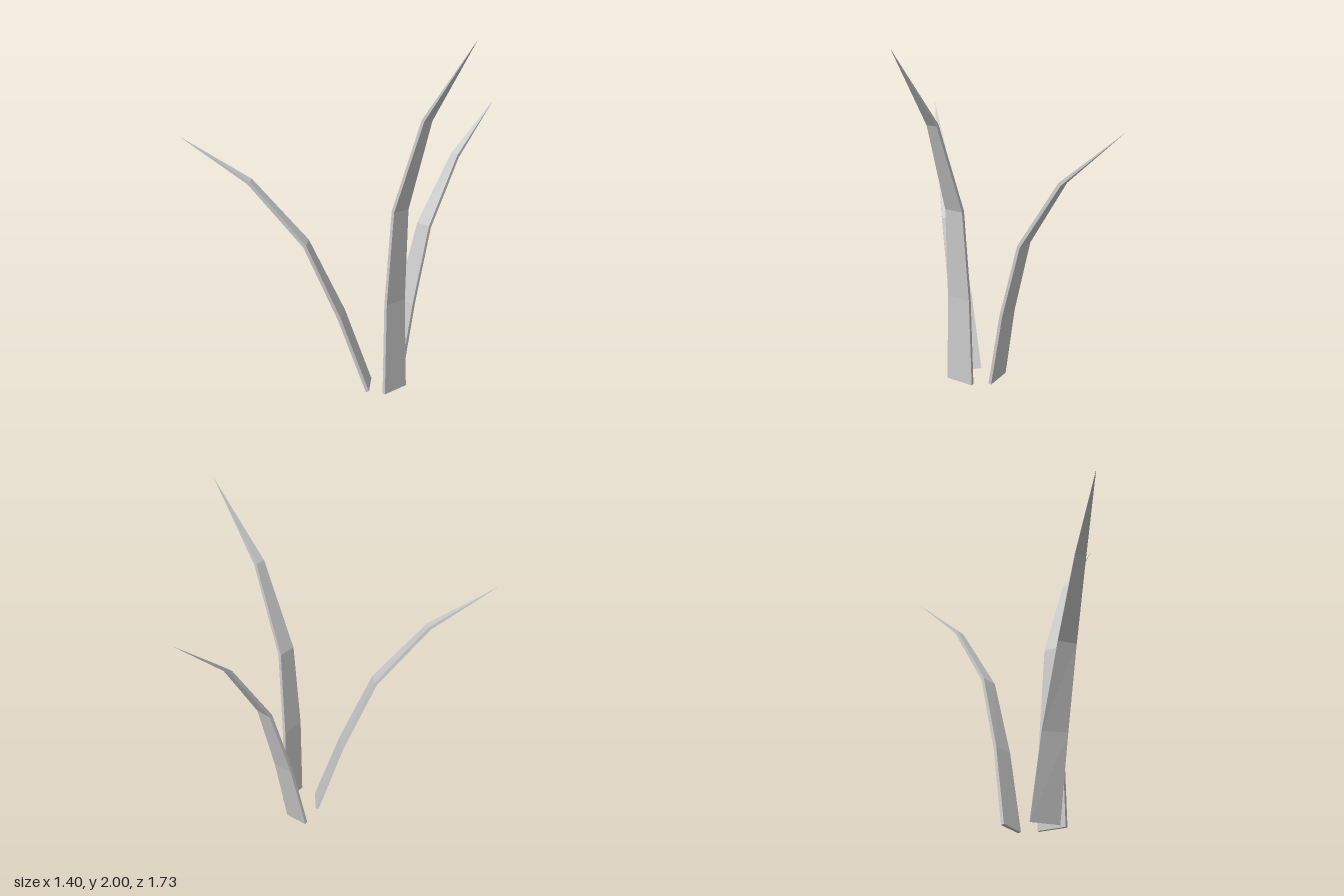
import * as THREE from 'three';

const HALF_THICKNESS = 0.0095;
const V = (p) => new THREE.Vector3(...p);

// Lofts a rectangular section along pairs of [leftEdge, rightEdge] points, closing to a tip.
function bladeGeometry(edges, tipPoint) {
  const tip = V(tipPoint);
  const pairs = edges.map(([l, r]) => [V(l), V(r)]);
  const centres = pairs.map(([l, r]) => l.clone().lerp(r, 0.5));
  centres.push(tip);

  const rings = pairs.map(([l, r], i) => {
    const ahead = centres[i + 1].clone().sub(centres[i]).normalize();
    const behind = i > 0 ? centres[i].clone().sub(centres[i - 1]).normalize() : ahead;
    const n = ahead.clone().add(behind).cross(r.clone().sub(l)).setLength(HALF_THICKNESS);
    return [l.clone().sub(n), r.clone().sub(n), r.clone().add(n), l.clone().add(n)];
  });

  const points = [];
  const tri = (a, b, c) => points.push(a, b, c);
  const [b0, b1, b2, b3] = rings[0];
  tri(b0, b2, b1);
  tri(b0, b3, b2);
  rings.forEach((ring, i) => {
    const next = rings[i + 1];
    for (let k = 0; k < 4; k++) {
      const m = (k + 1) % 4;
      if (next) {
        tri(ring[k], ring[m], next[m]);
        tri(ring[k], next[m], next[k]);
      } else {
        tri(ring[k], ring[m], tip);
      }
    }
  });
  const geometry = new THREE.BufferGeometry().setFromPoints(points);
  geometry.computeVertexNormals();
  return geometry;
}

// Edge stations run from the base up to the last bend before the tip.
const BLADES = [
  {
    name: 'leftBlade', // tallest, leaning to +x
    edges: [
      [[0.155, 0.02, 0.163], [0.155, 0.02, -0.01]],
      [[0.157, 0.55, 0.15], [0.157, 0.55, 0.005]],
      [[0.195, 1.08, 0.133], [0.195, 1.08, 0.02]],
      [[0.382, 1.585, 0.108], [0.382, 1.585, 0.044]],
    ],
    tip: [0.7, 2, 0.076],
  },
  {
    name: 'backBlade', // leaning to -z
    edges: [
      [[-0.084, 0.018, -0.078], [0.066, 0.004, -0.072]],
      [[-0.042, 0.465, -0.163], [0.086, 0.46, -0.158]],
      [[0.0, 0.91, -0.285], [0.099, 0.905, -0.277]],
      [[0.045, 1.298, -0.528], [0.1, 1.292, -0.52]],
    ],
    tip: [0.085, 1.6, -0.867],
  },
  {
    name: 'frontBlade', // leaning forward and to -x
    edges: [
      [[-0.053, 0.018, 0.068], [0.048, 0.006, 0.187]],
      [[-0.137, 0.457, 0.196], [-0.053, 0.45, 0.305]],
      [[-0.243, 0.885, 0.365], [-0.178, 0.875, 0.44]],
      [[-0.44, 1.233, 0.592], [-0.402, 1.226, 0.635]],
    ],
    tip: [-0.7, 1.477, 0.867],
  },
];

export function createModel() {
  const group = new THREE.Group();
  group.name = 'grassTuft';
  const material = new THREE.MeshStandardMaterial({ color: 0xcccccc, flatShading: true });
  for (const { name, edges, tip } of BLADES) {
    const blade = new THREE.Mesh(bladeGeometry(edges, tip), material);
    blade.name = name;
    group.add(blade);
  }
  return group;
}
